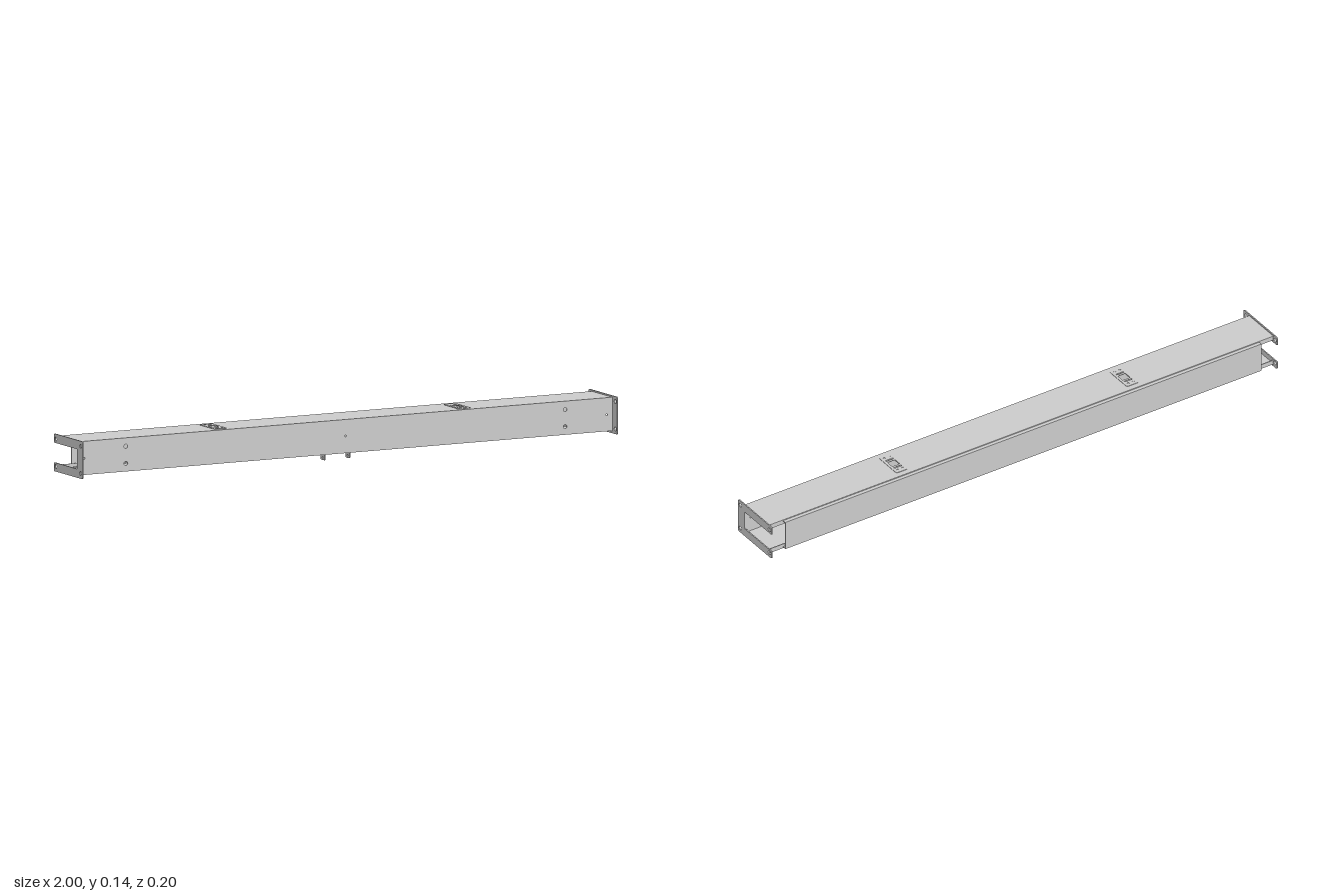
import * as THREE from 'three';

const T = 0.003; // sheet thickness

// rounded rectangle path
function rounded(Type, x0, y0, x1, y1, r) {
  const p = new Type();
  p.moveTo(x0 + r, y0).lineTo(x1 - r, y0).quadraticCurveTo(x1, y0, x1, y0 + r);
  p.lineTo(x1, y1 - r).quadraticCurveTo(x1, y1, x1 - r, y1);
  p.lineTo(x0 + r, y1).quadraticCurveTo(x0, y1, x0, y1 - r);
  p.lineTo(x0, y0 + r).quadraticCurveTo(x0, y0, x0 + r, y0);
  return p;
}
const circle = (x, y, r) => new THREE.Path().absarc(x, y, r, 0, Math.PI * 2, true);

export function createModel() {
  const model = new THREE.Group();
  const material = new THREE.MeshStandardMaterial({ color: 0xcccccc });

  function add(name, geometry, x = 0, y = 0, z = 0, parent = model) {
    const mesh = new THREE.Mesh(geometry, material);
    mesh.name = name;
    mesh.position.set(x, y, z);
    parent.add(mesh);
    return mesh;
  }
  const box = (name, w, h, d, x, y, z, parent) =>
    add(name, new THREE.BoxGeometry(w, h, d), x, y, z, parent);

  function sheet(shape, holes, depth = T) {
    shape.holes.push(...holes);
    return new THREE.ExtrudeGeometry(shape, { depth, bevelEnabled: false, curveSegments: 6 });
  }
  // horizontal sheet: shape y becomes -z
  const flat = (shape, holes, depth) => sheet(shape, holes, depth).rotateX(-Math.PI / 2);
  // sheet across the beam: shape x becomes -z
  const across = (shape, holes, depth) => sheet(shape, holes, depth).rotateY(Math.PI / 2);

  // channel: front wall with screw holes
  const wallHoles = [circle(0, 0.085, 0.003)];
  for (const s of [-1, 1]) {
    wallHoles.push(circle(s * 0.82, 0.055, 0.007), circle(s * 0.82, 0.112, 0.007));
    wallHoles.push(circle(s * 0.975, 0.083, 0.003));
  }
  add('frontWall', sheet(rounded(THREE.Shape, -0.997, 0.028, 0.997, 0.14, 0.001), wallHoles), 0, 0, 0.063);

  // channel: top and bottom flanges with mounting windows, and narrow return lips
  const window_ = (x) => rounded(THREE.Path, x - 0.015, -0.022, x + 0.015, 0.032, 0.004);
  const topHoles = [], bottomHoles = [];
  for (const s of [-1, 1]) {
    topHoles.push(window_(s * 0.455));
    bottomHoles.push(window_(s * 0.57));
    for (const dx of [-0.032, 0.032]) bottomHoles.push(circle(s * 0.175 + dx, 0.003, 0.016));
    bottomHoles.push(circle(s * 0.175, 0.025, 0.005), circle(s * 0.175, -0.02, 0.005));
  }
  const flange = () => rounded(THREE.Shape, -0.997, -0.064, 0.997, 0.078, 0.001);
  add('topFlange', flat(flange(), topHoles), 0, 0.137, 0);
  add('bottomFlange', flat(flange(), bottomHoles), 0, 0.028, 0);
  box('topLip', 1.99, 0.014, T, 0, 0.131, -0.0765);
  box('bottomLip', 1.99, 0.014, T, 0, 0.037, -0.0765);

  // clip plates framing each window
  function clipPlate(name, x, y) {
    const holes = [window_(x)];
    for (const dx of [-0.01, 0.01]) {
      holes.push(circle(x + dx, 0.045, 0.004), circle(x + dx, -0.035, 0.004));
    }
    add(name, flat(rounded(THREE.Shape, x - 0.024, -0.048, x + 0.024, 0.058, 0.008), holes, 0.002), 0, y, 0);
    box(name + 'Bar', 0.03, 0.002, 0.008, x, y + 0.001, 0.013);
    box(name + 'Bar', 0.03, 0.002, 0.008, x, y + 0.001, -0.023);
  }
  for (const s of [-1, 1]) {
    clipPlate('topClipPlate', s * 0.455, 0.1395);
    clipPlate('bottomClipPlate', s * 0.57, 0.0265);
  }

  // end plates: open towards the back, with bolt holes and tab slots
  for (const s of [-1, 1]) {
    const p = new THREE.Shape();
    p.moveTo(-0.092, 0.02).lineTo(0.092, 0.02).quadraticCurveTo(0.1, 0.02, 0.1, 0.028);
    p.lineTo(0.1, 0.045).quadraticCurveTo(0.1, 0.049, 0.096, 0.049);
    p.lineTo(-0.058, 0.049).quadraticCurveTo(-0.062, 0.049, -0.062, 0.053);
    p.lineTo(-0.062, 0.111).quadraticCurveTo(-0.062, 0.115, -0.058, 0.115);
    p.lineTo(0.096, 0.115).quadraticCurveTo(0.1, 0.115, 0.1, 0.119);
    p.lineTo(0.1, 0.137).quadraticCurveTo(0.1, 0.145, 0.092, 0.145);
    p.lineTo(-0.092, 0.145).quadraticCurveTo(-0.1, 0.145, -0.1, 0.137);
    p.lineTo(-0.1, 0.028).quadraticCurveTo(-0.1, 0.02, -0.092, 0.02);
    const holes = [];
    for (const z of [-0.086, 0.086]) for (const y of [0.037, 0.128]) holes.push(circle(z, y, 0.007));
    add('endPlate', across(p, holes, 0.004), s > 0 ? 0.996 : -1, 0, 0);
    // flange tabs showing in the plate
    for (const z of [-0.056, 0.056]) for (const y of [0.0265, 0.1385]) {
      box('plateTab', 0.004, 0.003, 0.018, s * 0.9975, y, z);
    }
  }

  // back cover: shallow tray closing the channel
  const cover = new THREE.Group();
  cover.name = 'backCover';
  model.add(cover);
  box('coverPanel', 1.88, 0.106, T, 0, 0.084, -0.0895, cover);
  for (const y of [0.0325, 0.1355]) box('coverFlange', 1.88, T, 0.02, 0, y, -0.08, cover);

  // inner cable shelf with a bent-up edge
  const shelf = new THREE.Shape();
  shelf.moveTo(-0.063, 0.079).lineTo(0.015, 0.079).lineTo(0.033, 0.096).lineTo(0.032, 0.097);
  shelf.lineTo(0.0145, 0.0805).lineTo(-0.063, 0.0805);
  add('innerShelf', across(shelf, [], 0.3), -0.15, 0, 0);

  // hanging bracket under the middle
  const bracket = new THREE.Group();
  bracket.name = 'hangingBracket';
  model.add(bracket);
  box('bracketBase', 0.096, 0.003, 0.03, -0.002, 0.0265, 0, bracket);
  for (const x of [-0.05, 0.043]) {
    const ear = new THREE.Shape();
    ear.moveTo(-0.018, 0.028).lineTo(-0.018, 0.02).lineTo(-0.014, 0.017).lineTo(-0.014, 0.005);
    ear.quadraticCurveTo(-0.014, 0, -0.009, 0).lineTo(0.009, 0).quadraticCurveTo(0.014, 0, 0.014, 0.005);
    ear.lineTo(0.014, 0.017).lineTo(0.018, 0.02).lineTo(0.018, 0.028);
    add('bracketEar', across(ear, [circle(0, 0.008, 0.003)]), x, 0, 0, bracket);
  }
  return model;
}
